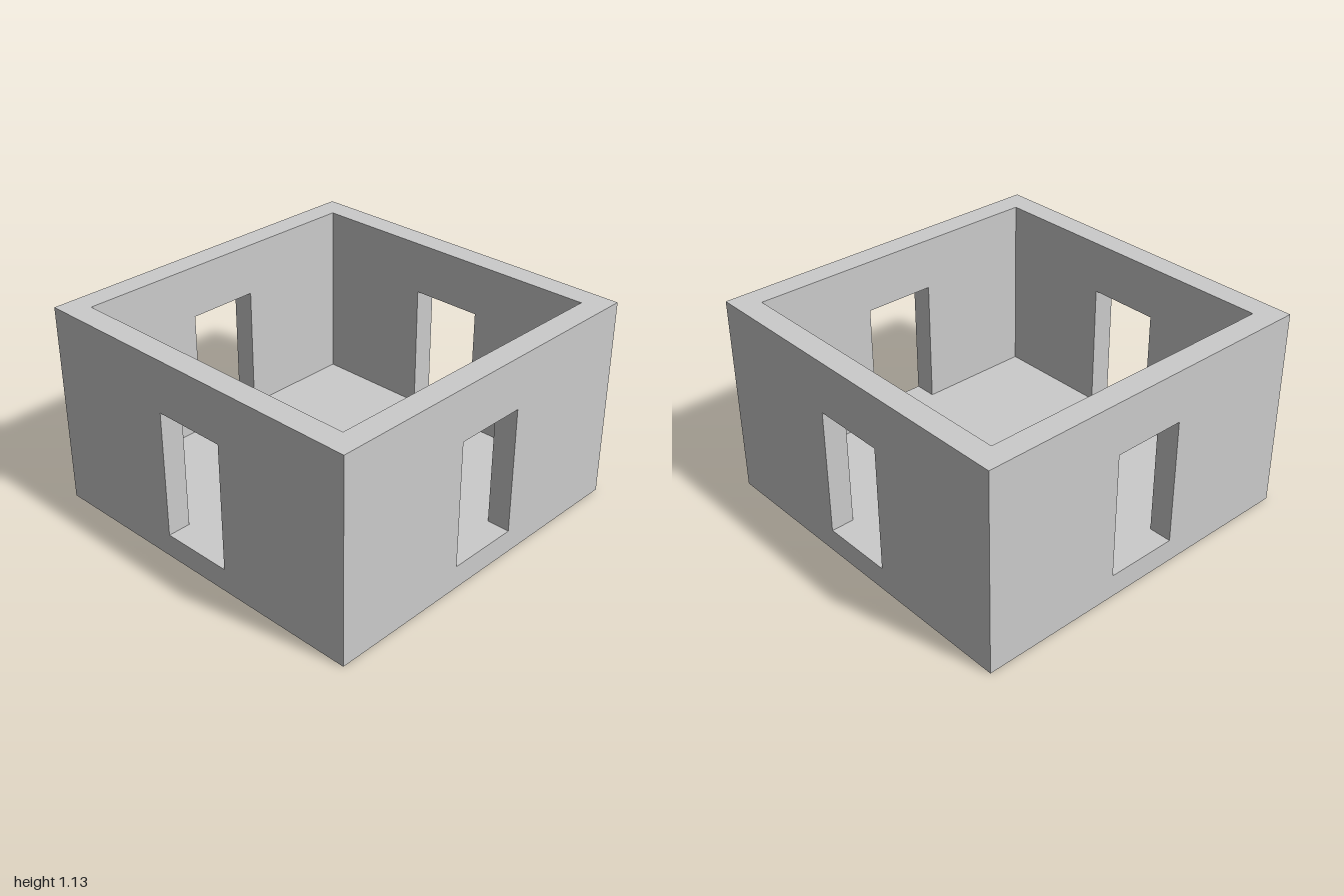
import * as THREE from 'three';

const HALF = 1, WALL = 0.13, FLOOR = 0.13, HEIGHT = 1.13;
const DOOR_HALF = 0.205, DOOR_TOP = 0.84;

// Wall with a doorway rising from the floor, its ends mitred at 45 degrees
function wallGeometry() {
  const outline = [
    [-HALF, FLOOR], [-DOOR_HALF, FLOOR], [-DOOR_HALF, DOOR_TOP], [DOOR_HALF, DOOR_TOP],
    [DOOR_HALF, FLOOR], [HALF, FLOOR], [HALF, HEIGHT], [-HALF, HEIGHT],
  ].map(([x, y]) => new THREE.Vector2(x, y));
  const geometry = new THREE.ExtrudeGeometry(new THREE.Shape(outline), { depth: WALL, bevelEnabled: false });
  geometry.translate(0, 0, HALF - WALL);
  const p = geometry.attributes.position;
  for (let i = 0; i < p.count; i++) {
    const x = p.getX(i), z = p.getZ(i);
    if (Math.abs(x) > z) p.setX(i, Math.sign(x) * z);
  }
  geometry.computeVertexNormals();
  return geometry;
}

export function createModel() {
  const group = new THREE.Group();
  group.name = 'room';
  const material = new THREE.MeshStandardMaterial({ color: 0xcccccc });

  // Floor slab, level with the doorway sills
  const floor = new THREE.Mesh(new THREE.BoxGeometry(2 * HALF, FLOOR, 2 * HALF), material);
  floor.position.y = FLOOR / 2;
  floor.name = 'floor';
  group.add(floor);

  // Four equal walls turned about the centre
  const geometry = wallGeometry();
  ['frontWall', 'leftWall', 'backWall', 'rightWall'].forEach((name, i) => {
    const wall = new THREE.Mesh(geometry, material);
    wall.name = name;
    wall.rotation.y = i * Math.PI / 2;
    group.add(wall);
  });
  return group;
}
